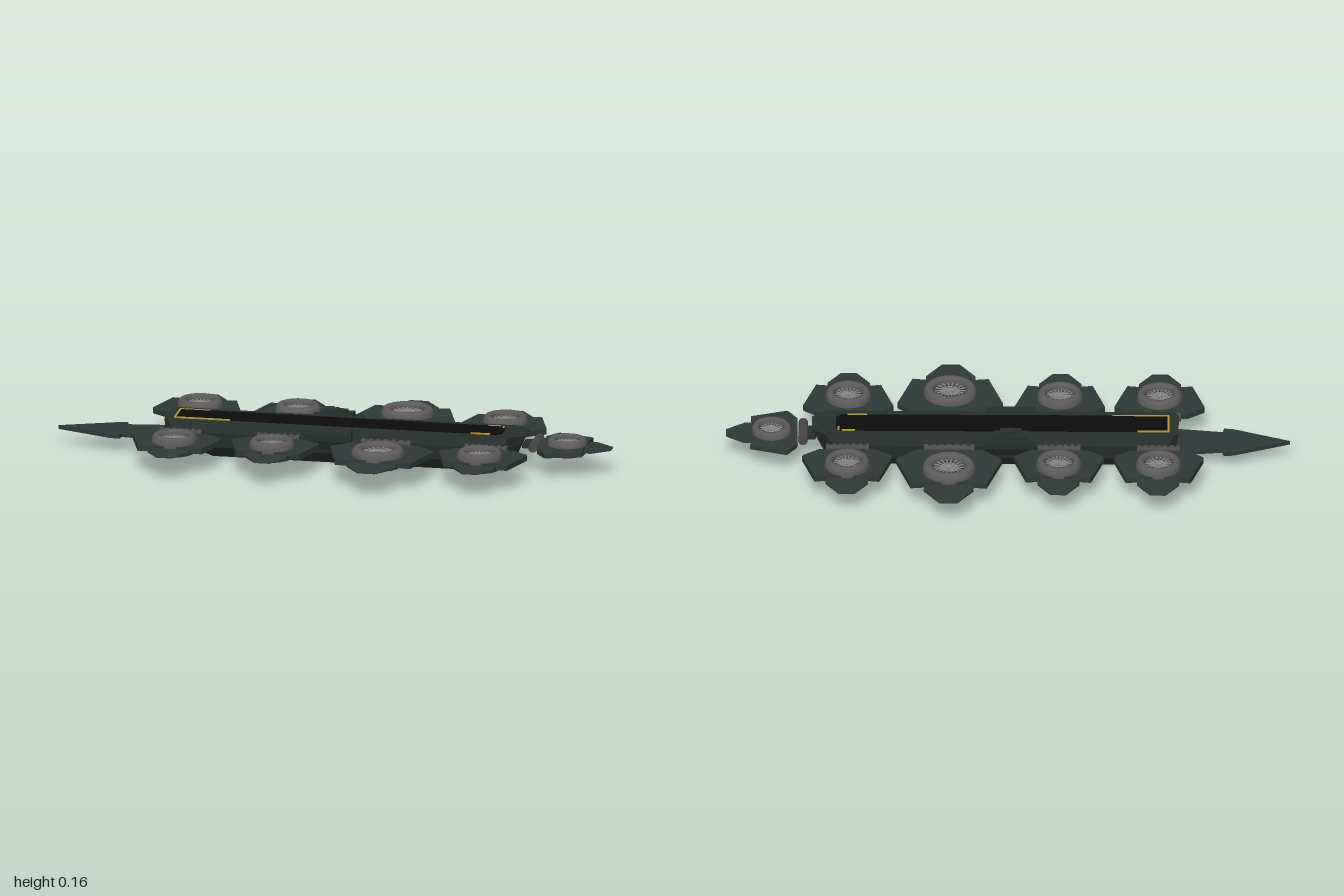
import * as THREE from 'three';

const mat = (name, color, flat = true) => {
  const m = new THREE.MeshStandardMaterial({ color, flatShading: flat });
  m.name = name;
  return m;
};

export function createModel() {
  const root = new THREE.Group();
  root.name = 'hoverCarrier';
  const M = {
    hull: mat('hull green', 0x28312f),
    plate: mat('armour green', 0x2f3a38),
    deck: mat('deck black', 0x0b0c0b),
    yellow: mat('marking yellow', 0xb59a2c),
    ring: mat('engine grey', 0x5d5b5a, false),
    grille: mat('grille grey', 0x8a8886),
    joint: mat('joint grey', 0x4c4948),
    dark: mat('fan dark', 0x252626),
  };
  const add = (parent, name, geo, m, x = 0, y = 0, z = 0) => {
    const mesh = new THREE.Mesh(geo, m);
    mesh.name = name;
    mesh.position.set(x, y, z);
    parent.add(mesh);
    return mesh;
  };
  const box = (p, name, m, w, h, d, x, y, z) => add(p, name, new THREE.BoxGeometry(w, h, d), m, x, y, z);

  // Horizontal plate from [x, outward] points; outward is -z
  const slab = (pts, h, hole) => {
    const s = new THREE.Shape(pts.map(p => new THREE.Vector2(p[0], p[1])));
    if (hole) s.holes.push(new THREE.Path().absarc(0, 0, hole, 0, Math.PI * 2, true));
    return new THREE.ExtrudeGeometry(s, { depth: h, bevelEnabled: false, curveSegments: 16 })
      .rotateX(-Math.PI / 2).translate(0, -h / 2, 0);
  };
  const mirrored = half => [...half, ...half.slice().reverse().map(([x, y]) => [-x, y])];

  // Hull lofted upwards through chamfered outlines: y, rear x, bow x, half width, rear cut, bow cut
  const levels = [
    [0, -0.46, 0.575, 0.058, 0.03, 0.05],
    [0.04, -0.55, 0.65, 0.085, 0.03, 0.06],
    [0.095, -0.6, 0.675, 0.096, 0.03, 0.06],
    [0.132, -0.605, 0.695, 0.085, 0.02, 0.05],
  ];
  const outline = ([y, a, b, w, ca, cb]) => [
    [a, y, w - ca], [a + ca, y, w], [b - cb, y, w], [b, y, w * 0.5],
    [b, y, -w * 0.5], [b - cb, y, -w], [a + ca, y, -w], [a, y, ca - w],
  ];
  const pos = [];
  const loops = levels.map(outline);
  const tri = (...v) => v.forEach(p => pos.push(...p));
  for (let k = 0; k < loops.length - 1; k++) {
    for (let i = 0; i < 8; i++) {
      const j = (i + 1) % 8, A = loops[k], B = loops[k + 1];
      tri(A[i], A[j], B[j]);
      tri(A[i], B[j], B[i]);
    }
  }
  for (let i = 1; i < 7; i++) {
    tri(loops[3][0], loops[3][i], loops[3][i + 1]);
    tri(loops[0][0], loops[0][i + 1], loops[0][i]);
  }
  const hullGeo = new THREE.BufferGeometry();
  hullGeo.setAttribute('position', new THREE.Float32BufferAttribute(pos, 3));
  hullGeo.computeVertexNormals();
  add(root, 'hull', hullGeo, M.hull);

  // Midship sponsons
  const spons = new THREE.Shape(mirrored([[0.07, 0.02], [0.105, 0.088], [0.108, 0.112], [0.122, 0.116], [0.122, 0.131]])
    .map(p => new THREE.Vector2(...p)));
  const sponsGeo = new THREE.ExtrudeGeometry(spons, { depth: 0.18, bevelEnabled: false })
    .rotateY(Math.PI / 2).translate(-0.1, 0, 0);
  add(root, 'sponsons', sponsGeo, M.hull);

  // Deck with its painted edge lines
  add(root, 'deck', slab([[-0.57, -0.055], [0.59, -0.055], [0.61, -0.035], [0.61, 0.035], [0.59, 0.055], [-0.57, 0.055]], 0.006),
    M.deck, 0, 0.132, 0);
  [
    [0.007, 0.112, -0.569, 0], [0.11, 0.007, -0.515, -0.054], [0.2, 0.007, -0.47, 0.054],
    [0.045, 0.007, 0.565, -0.054], [0.07, 0.007, 0.535, 0.054], [0.007, 0.022, 0.6, -0.04],
  ].forEach(([w, d, x, z]) => box(root, 'deckLine', M.yellow, w, 0.006, d, x, 0.1335, z));

  // Control tower on the right-hand deck edge
  const tower = new THREE.Group();
  tower.name = 'tower';
  root.add(tower);
  box(tower, 'towerBase', M.hull, 0.12, 0.016, 0.04, -0.01, 0.138, -0.092);
  box(tower, 'towerCabin', M.hull, 0.075, 0.012, 0.028, -0.01, 0.15, -0.086);
  add(tower, 'towerDome', new THREE.CylinderGeometry(0.008, 0.014, 0.008, 8), M.hull, -0.01, 0.158, -0.085);

  // Tail blade
  add(root, 'tailBlade', slab([
    [-1, 0], [-0.8, -0.08], [-0.765, -0.085], [-0.76, -0.06], [-0.57, -0.085],
    [-0.57, 0.085], [-0.76, 0.06], [-0.765, 0.085], [-0.8, 0.08],
  ], 0.014), M.plate, 0, 0.059, 0);

  // Shared pod geometry
  const ringGeo = new THREE.LatheGeometry([
    [0.047, -0.02], [0.053, -0.032], [0.062, -0.036], [0.072, -0.033], [0.079, -0.022], [0.081, -0.008],
    [0.081, 0.008], [0.079, 0.022], [0.072, 0.033], [0.062, 0.036], [0.053, 0.032], [0.047, 0.02], [0.047, -0.02],
  ].map(p => new THREE.Vector2(...p)), 32);
  const petalGeo = slab(mirrored([[0.075, 0.045], [0.075, 0.11], [0.027, 0.185]]), 0.008, 0.001);
  // Thin the petal towards its tip
  const pp = petalGeo.attributes.position;
  for (let i = 0; i < pp.count; i++) if (pp.getZ(i) < -0.15) pp.setY(i, pp.getY(i) * 0.3);
  const fanGeo = new THREE.CylinderGeometry(0.049, 0.049, 0.02, 24);
  const hubGeo = new THREE.CylinderGeometry(0.011, 0.011, 0.046, 12);
  const spokeGeo = new THREE.BoxGeometry(0.04, 0.004, 0.0035).translate(0.029, 0, 0);
  const trimGeo = new THREE.TorusGeometry(0.025, 0.002, 4, 24).rotateX(Math.PI / 2);

  // Lift pod: armour, ring engine, grille and ribbed hinge, facing outward along -z
  const pod = (name, x, z, turn, s, inner, hinge) => {
    const g = new THREE.Group();
    g.name = name;
    g.position.set(x, 0.091, z);
    g.rotation.y = turn;
    root.add(g);
    const e = new THREE.Group();
    e.name = 'engine';
    e.scale.set(s, s < 1 ? 0.87 : 1, s);
    g.add(e);
    const armour = slab(mirrored([
      [0.1, inner / s], [0.155, -0.068], [0.16, -0.06], [0.115, 0.085], [0.065, 0.078],
    ]), 0.02, 0.06);
    add(e, 'sideArmour', armour, M.plate, 0, -0.002, 0);
    // Solid petal begins beyond the engine opening
    add(e, 'outerPetal', petalGeo, M.plate, 0, -0.003, 0);
    add(e, 'engineRing', ringGeo, M.ring);
    add(e, 'fanDisc', fanGeo, M.dark);
    add(e, 'hub', hubGeo, M.grille);
    for (const side of [-1, 1]) {
      add(e, 'grilleRing', trimGeo, M.grille, 0, side * 0.018, 0);
      for (let i = 0; i < 18; i++)
        add(e, 'spoke', spokeGeo, M.grille, 0, side * 0.018, 0).rotation.y = i * Math.PI / 9;
    }
    // Hinge barrel with ribs and its arm to the hull
    const len = 0.14 * s, hz = hinge;
    add(g, 'hingeBarrel', new THREE.CylinderGeometry(0.013, 0.013, len, 10).rotateZ(Math.PI / 2), M.joint, 0, 0.004, hz);
    for (let i = 0; i < 7; i++)
      add(g, 'hingeRib', new THREE.CylinderGeometry(0.017, 0.017, len * 0.09, 10).rotateZ(Math.PI / 2), M.joint,
        (i / 6 - 0.5) * len, 0.004, hz);
    box(g, 'hingeArm', M.hull, len * 0.6, 0.014, 0.06, 0, 0, hz + 0.015);
  };

  [[-0.535, 0.237, 1], [-0.182, 0.237, 1], [0.207, 0.267, 1.17], [0.568, 0.237, 1]].forEach(([x, z, s]) => {
    pod('rightPod', x, -z, 0, s, 0.128 - z, z - 0.115);
    pod('leftPod', x, z, Math.PI, s, 0.128 - z, z - 0.115);
  });
  pod('bowPod', 0.838, 0, -Math.PI / 2, 0.875, -0.092, 0.112);

  return root;
}
